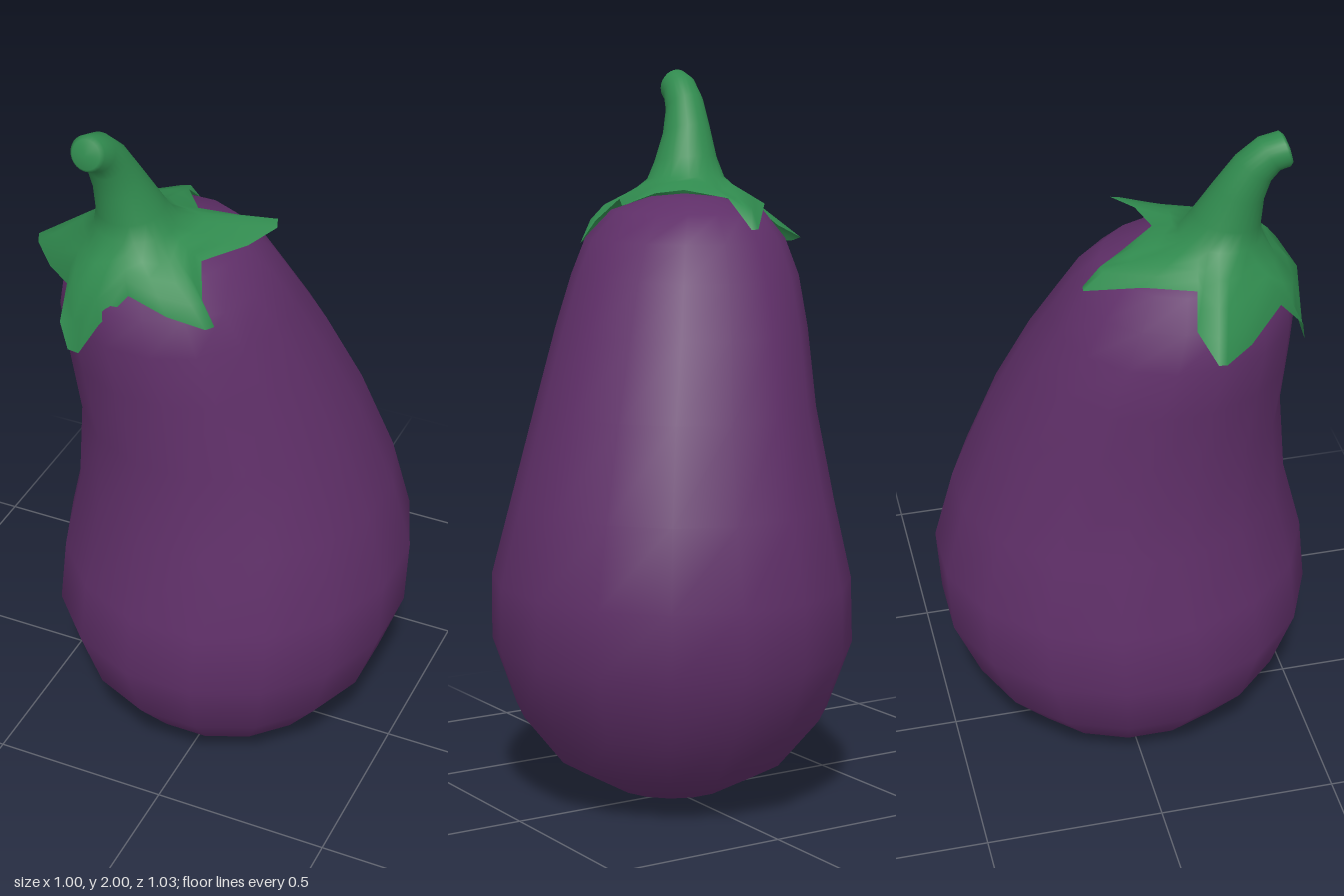
import * as THREE from 'three';

const V = (x, y, z) => new THREE.Vector3(x, y, z);

// Skin over rings of equal point counts, listed bottom to top, with optional closing points
function loft(rings, bottom, top) {
  const n = rings[0].length;
  const points = rings.flat();
  const index = [];
  for (let r = 0; r < rings.length - 1; r++) {
    for (let i = 0; i < n; i++) {
      const a = r * n + i, b = r * n + (i + 1) % n;
      index.push(a, a + n, b, b, a + n, b + n);
    }
  }
  const close = (point, start, up) => {
    const c = points.push(point) - 1;
    for (let i = 0; i < n; i++) {
      const a = start + i, b = start + (i + 1) % n;
      if (up) index.push(a, c, b);
      else index.push(a, b, c);
    }
  };
  if (bottom) close(bottom, 0, false);
  if (top) close(top, (rings.length - 1) * n, true);
  const geometry = new THREE.BufferGeometry().setFromPoints(points);
  geometry.setIndex(index);
  geometry.computeVertexNormals();
  return geometry;
}

// Fruit sections: height, min x, max x, min z, max z
const sections = [
  [0.03, -0.15, 0.17, -0.15, 0.18],
  [0.115, -0.30, 0.32, -0.31, 0.34],
  [0.255, -0.41, 0.43, -0.43, 0.455],
  [0.44, -0.47, 0.495, -0.505, 0.52],
  [0.625, -0.455, 0.5, -0.515, 0.505],
  [0.84, -0.41, 0.445, -0.46, 0.45],
  [1.09, -0.385, 0.36, -0.37, 0.425],
  [1.30, -0.40, 0.275, -0.28, 0.43],
  [1.44, -0.405, 0.21, -0.205, 0.43],
  [1.54, -0.38, 0.155, -0.15, 0.42],
  [1.615, -0.325, 0.08, -0.08, 0.36],
  [1.65, -0.22, -0.02, 0.04, 0.25],
];

function insideFruit(p, margin) {
  const k = sections.findIndex((s) => s[0] > p.y - margin);
  if (k < 1) return false;
  const t = (p.y - margin - sections[k - 1][0]) / (sections[k][0] - sections[k - 1][0]);
  const [, x0, x1, z0, z1] = sections[k].map((v, i) => THREE.MathUtils.lerp(sections[k - 1][i], v, t));
  const dx = (p.x - (x0 + x1) / 2) / ((x1 - x0) / 2 + margin);
  const dz = (p.z - (z0 + z1) / 2) / ((z1 - z0) / 2 + margin);
  return dx * dx + dz * dz < 1;
}

// Push a point outwards until it lies on top of the fruit skin
function drape(p, margin) {
  const step = p.clone().sub(V(-0.12, 1.3, 0.13)).setLength(0.004);
  for (let i = 0; i < 60 && insideFruit(p, margin); i++) p.add(step);
  return p;
}

function fruitGeometry() {
  const sides = 16;
  const rings = sections.map(([y, x0, x1, z0, z1]) =>
    Array.from({ length: sides }, (_, i) => {
      const a = ((i + 0.5) / sides) * Math.PI * 2;
      return V(
        (x0 + x1) / 2 + ((x1 - x0) / 2) * 1.015 * Math.cos(a), y,
        (z0 + z1) / 2 + ((z1 - z0) / 2) * 1.015 * Math.sin(a));
    }));
  return loft(rings, V(0, 0, 0.01), V(-0.12, 1.66, 0.15));
}

// Outline of the five-pointed leafy cap
const rim = [
  [-0.172, 1.575, -0.14], [-0.152, 1.575, -0.137], [-0.14, 1.655, -0.04],
  [-0.065, 1.675, 0.065],
  [0.04, 1.67, 0.045], [0.13, 1.655, 0.0], [0.14, 1.645, 0.025], [0.10, 1.635, 0.12],
  [0.03, 1.645, 0.25],
  [0.065, 1.58, 0.325], [0.105, 1.52, 0.338], [0.09, 1.52, 0.36], [0.0, 1.555, 0.395],
  [-0.105, 1.59, 0.395],
  [-0.175, 1.5, 0.42], [-0.235, 1.402, 0.43], [-0.268, 1.402, 0.425], [-0.295, 1.47, 0.41],
  [-0.305, 1.545, 0.345],
  [-0.41, 1.51, 0.24], [-0.49, 1.515, 0.155], [-0.5, 1.525, 0.13], [-0.40, 1.565, 0.1],
  [-0.32, 1.63, 0.12],
  [-0.28, 1.635, -0.01],
].map((p) => V(...p));

// Stem rings: centre x, y, z, radius, forward tilt
const stem = [
  [-0.167, 1.70, 0.218, 0.108, 0.05],
  [-0.175, 1.75, 0.232, 0.088, 0.15],
  [-0.193, 1.83, 0.256, 0.067, 0.3],
  [-0.207, 1.90, 0.288, 0.055, 0.6],
  [-0.215, 1.94, 0.325, 0.05, 1.0],
  [-0.222, 1.953, 0.362, 0.047, 1.3],
  [-0.223, 1.953, 0.37, 0.038, 1.3],
];

function stemGeometry() {
  const n = rim.length;
  const stemRings = stem.map(([x, y, z, r, tilt]) =>
    rim.map((_, i) => {
      const a = -1.85 + (i / n) * Math.PI * 2;
      return V(x + r * Math.cos(a), y - r * Math.sin(a) * Math.sin(tilt), z + r * Math.sin(a) * Math.cos(tilt));
    }));
  const leafRings = [0, 0.25, 0.5, 0.75].map((t) =>
    rim.map((p, i) => drape(p.clone().lerp(stemRings[0][i], t), t === 0 ? 0.006 : 0.018)));
  return loft([...leafRings, ...stemRings], null, V(-0.223, 1.953, 0.376));
}

export function createModel() {
  const purple = new THREE.MeshStandardMaterial({ name: 'purple skin', color: 0x5f2f68 });
  const green = new THREE.MeshStandardMaterial({ name: 'green stem', color: 0x308a4e, side: THREE.DoubleSide });

  const fruit = new THREE.Mesh(fruitGeometry(), purple);
  fruit.name = 'fruit';
  const cap = new THREE.Mesh(stemGeometry(), green);
  cap.name = 'stemAndLeafCap';

  const group = new THREE.Group();
  group.name = 'eggplant';
  group.add(fruit, cap);
  return group;
}
